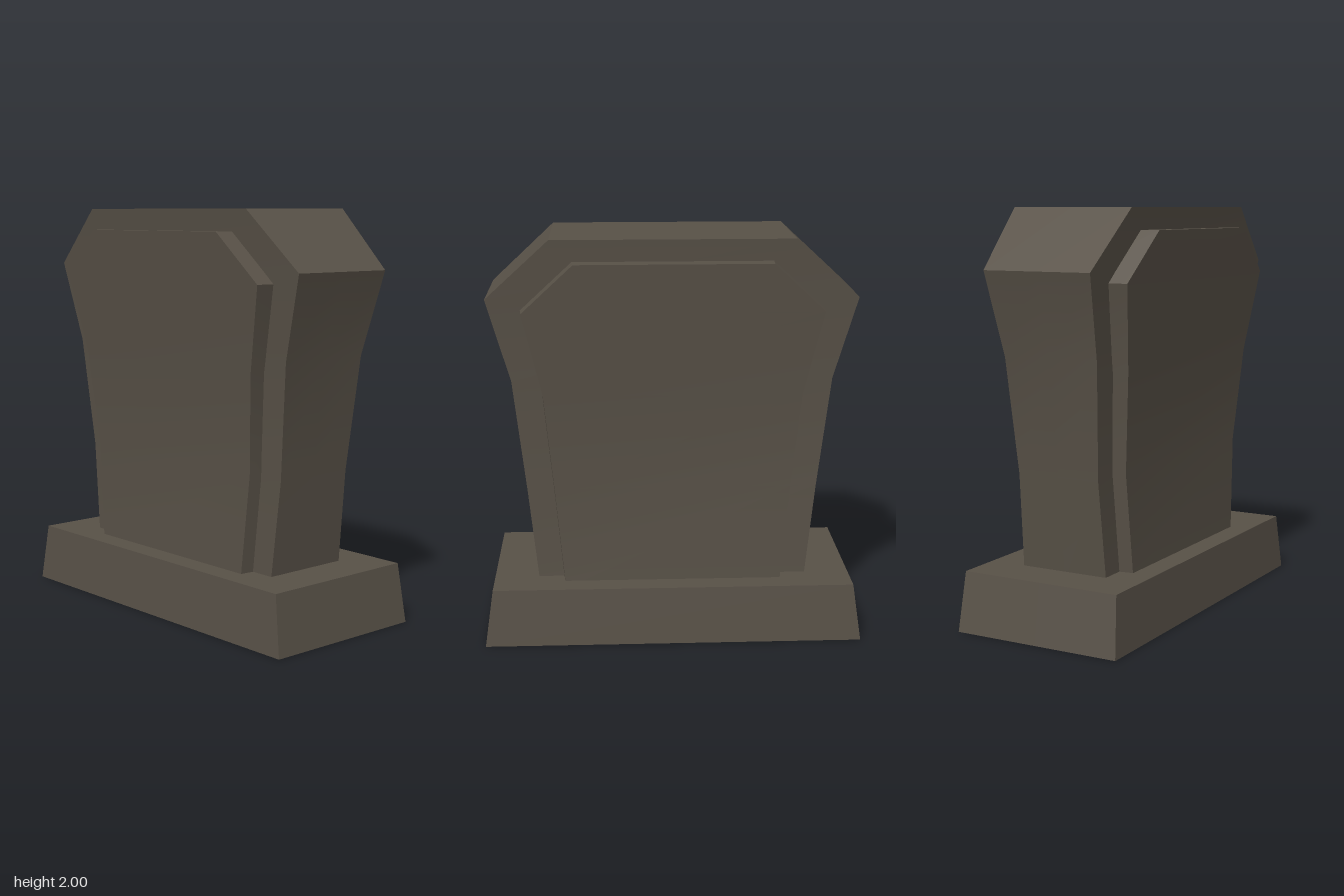
import * as THREE from 'three';
import { toCreasedNormals } from 'three/addons/utils/BufferGeometryUtils.js';

// Loft through rectangular sections [y, halfWidth, halfDepth]; open below, capped on top.
// bulge widens the section at mid depth, giving the side walls a slight draft.
function loft(rows, bulge = 0) {
  const pos = [];
  const rings = rows.map(([y, x, z]) => [
    [x, y, z], [x + bulge, y, 0], [x, y, -z],
    [-x, y, -z], [-x - bulge, y, 0], [-x, y, z],
  ]);
  const tri = (a, b, c) => pos.push(...a, ...b, ...c);
  for (let r = 0; r < rings.length - 1; r++) {
    const lo = rings[r], hi = rings[r + 1];
    for (let i = 0; i < 6; i++) {
      const j = (i + 1) % 6;
      tri(lo[i], lo[j], hi[j]);
      tri(lo[i], hi[j], hi[i]);
    }
  }
  const top = rings[rings.length - 1];
  for (let i = 1; i < 5; i++) tri(top[0], top[i], top[i + 1]);
  const geo = new THREE.BufferGeometry();
  geo.setAttribute('position', new THREE.Float32BufferAttribute(pos, 3));
  return toCreasedNormals(geo, Math.PI / 7);
}

export function createModel() {
  const group = new THREE.Group();
  const stone = new THREE.MeshStandardMaterial({ color: 0x585147, side: THREE.DoubleSide });
  stone.name = 'darkStone';

  const add = (name, geo) => {
    const mesh = new THREE.Mesh(geo, stone);
    mesh.name = name;
    group.add(mesh);
  };

  // Hollow plinth with sloping walls
  add('plinth', loft([
    [0, 0.935, 0.43],
    [0.29, 0.893, 0.412],
  ]));

  // Main slab, flaring upward to chamfered shoulders
  add('slab', loft([
    [0.25, 0.668, 0.229],
    [0.75, 0.72, 0.217],
    [1.31, 0.78, 0.249],
    [1.715, 0.893, 0.283],
    [2, 0.583, 0.318],
  ]));

  // Raised panel, standing proud on both front and back
  add('raisedPanel', loft([
    [0.25, 0.535, 0.299],
    [0.77, 0.582, 0.285],
    [1.25, 0.626, 0.323],
    [1.662, 0.719, 0.371],
    [1.895, 0.47, 0.398],
  ], 0.03));

  return group;
}
